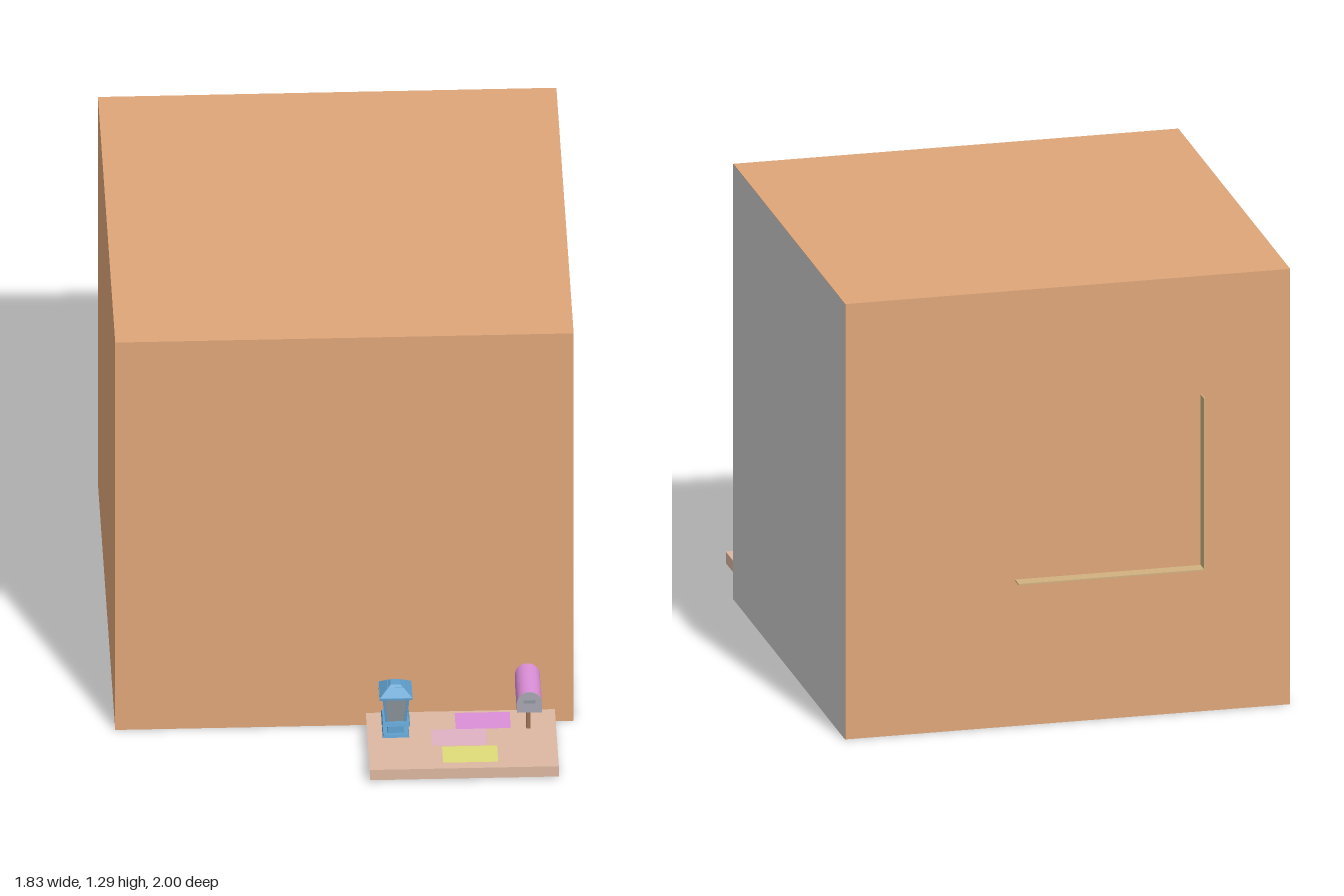
import * as THREE from 'three';

const mat = (color, double = false) => new THREE.MeshStandardMaterial({
  color, flatShading: true, side: double ? THREE.DoubleSide : THREE.FrontSide,
});
const BROWN = mat(0xdea679, true), PANEL = mat(0xcccfcb), MINT = mat(0xccddd4, true);
const PAD = mat(0xdcb8a2, true), WOOD = mat(0xd0b080, true), BLUE = mat(0x5f9fcc);
const GLASS = mat(0x8f989e), PINK = mat(0xdc8fd8), POST = mat(0x9a7355);

const SIDE = 1.29, H = SIDE / 2, FLOOR = 0.05;

function add(parent, name, geometry, material, x = 0, y = 0, z = 0) {
  const mesh = new THREE.Mesh(geometry, material);
  mesh.name = name;
  mesh.position.set(x, y, z);
  parent.add(mesh);
  return mesh;
}
const box = (w, h, d) => new THREE.BoxGeometry(w, h, d);
// Horizontal sheet facing up
const sheet = (w, d) => new THREE.PlaneGeometry(w, d).rotateX(-Math.PI / 2);
// Square frustum with sides parallel to the axes; a and b are half diagonals
const frustum = (a, b, h) => new THREE.CylinderGeometry(a, b, h, 4).rotateY(Math.PI / 4);

function buildHouse() {
  const g = new THREE.Group();
  g.name = 'house';
  add(g, 'roomBlock', box(SIDE, SIDE - FLOOR, SIDE), BROWN, 0, (SIDE + FLOOR) / 2, 0);
  // Thin skirts carry the walls down past the raised floor
  for (const s of [-1, 1]) {
    add(g, 'sideSkirt', box(0.004, FLOOR, SIDE), BROWN, s * (H - 0.002), FLOOR / 2, 0);
  }
  add(g, 'innerSideLining', box(0.002, FLOOR, SIDE - 0.01), MINT, -H + 0.005, FLOOR / 2, 0);
  add(g, 'innerFrontLining', box(SIDE - 0.01, FLOOR, 0.002), MINT, 0, FLOOR / 2, H - 0.003);
  add(g, 'backSkirt', box(SIDE, FLOOR, 0.004), BROWN, 0, FLOOR / 2, -H + 0.002);
  add(g, 'backWallFoot', box(SIDE - 0.01, FLOOR, 0.046), MINT, 0, FLOOR / 2 + 0.0005, -H + 0.027);
  add(g, 'frontPanel', new THREE.PlaneGeometry(SIDE, SIDE), PANEL, 0, H, H + 0.001);

  // Window sill and single jamb on the outside wall
  add(g, 'windowSill', box(0.042, 0.004, 0.54), WOOD, H + 0.021, 0.432, -0.117);
  add(g, 'windowJamb', box(0.042, 0.51, 0.004), WOOD, H + 0.021, 0.685, -0.387);
  return g;
}

function buildPorch() {
  const g = new THREE.Group();
  g.name = 'porch';
  const top = 0.04;
  add(g, 'porchDeck', sheet(0.3, 0.532), PAD, -0.795, top, 0.326);
  add(g, 'porchOuterEdge', box(0.002, 0.034, 0.532), PAD, -0.944, top - 0.017, 0.326);
  add(g, 'porchEndEdge', box(0.3, 0.034, 0.002), PAD, -0.795, top - 0.017, 0.591);
  // Flat paving patches
  for (const [color, x, z] of [[0xdc8fd8, -0.7, 0.387], [0xdfb2c4, -0.785, 0.317], [0xdedc78, -0.875, 0.345]]) {
    add(g, 'pavingPatch', sheet(0.085, 0.155), mat(color, true), x, top + 0.002, z);
  }
  return g;
}

function buildLantern() {
  const g = new THREE.Group();
  g.name = 'lantern';
  add(g, 'lanternFoot', frustum(0.05, 0.053, 0.008), BLUE, 0, 0.044, 0);
  add(g, 'lanternStem', frustum(0.03, 0.034, 0.032), BLUE, 0, 0.063, 0);
  add(g, 'lanternTray', frustum(0.052, 0.056, 0.01), BLUE, 0, 0.083, 0);
  add(g, 'lanternGlass', frustum(0.05, 0.037, 0.085), GLASS, 0, 0.129, 0);
  // Slanted corner posts
  for (const sx of [-1, 1]) for (const sz of [-1, 1]) {
    const geo = box(0.007, 0.087, 0.007);
    const p = geo.attributes.position;
    for (let i = 0; i < p.count; i++) {
      const spread = p.getY(i) > 0 ? 0.035 : 0.026;
      p.setX(i, p.getX(i) + sx * spread);
      p.setZ(i, p.getZ(i) + sz * spread);
    }
    add(g, 'lanternPost', geo, BLUE, 0, 0.129, 0);
  }
  add(g, 'lanternEaves', frustum(0.066, 0.066, 0.006), BLUE, 0, 0.173, 0);
  add(g, 'lanternRoof', frustum(0.032, 0.064, 0.02), BLUE, 0, 0.186, 0);
  add(g, 'lanternCap', frustum(0.02, 0.03, 0.007), BLUE, 0, 0.199, 0);
  return g;
}

function buildMailbox() {
  const g = new THREE.Group();
  g.name = 'mailbox';
  const r = 0.035;
  const arch = new THREE.Shape();
  arch.moveTo(-r, 0);
  arch.lineTo(r, 0);
  arch.lineTo(r, 0.032);
  arch.absarc(0, 0.032, r, 0, Math.PI, false);
  arch.closePath();
  const along = (depth) => new THREE.ExtrudeGeometry(arch, { depth, bevelEnabled: false, curveSegments: 10 })
    .translate(0, 0, -depth / 2).rotateY(Math.PI / 2);
  add(g, 'mailboxBody', along(0.15), PINK, 0, 0.138, 0);
  add(g, 'mailboxDoor', along(0.003), mat(0xa9a6b2), -0.076, 0.138, 0);
  add(g, 'mailboxSlot', box(0.003, 0.011, 0.034), GLASS, -0.079, 0.175, 0);
  add(g, 'mailboxPost', box(0.012, 0.1, 0.012), POST, 0, 0.09, 0);
  return g;
}

export function createModel() {
  const model = new THREE.Group();
  model.name = 'houseWithPorch';
  const lantern = buildLantern(), mailbox = buildMailbox();
  lantern.position.set(-0.741, 0, 0.14);
  mailbox.position.set(-0.737, 0, 0.514);

  // The whole house stands corner-on to the front
  const turned = new THREE.Group();
  turned.name = 'turnedHouse';
  turned.add(buildHouse(), buildPorch(), lantern, mailbox);
  turned.rotation.y = Math.PI / 4;
  turned.position.z = -0.0875;
  model.add(turned);
  return model;
}
